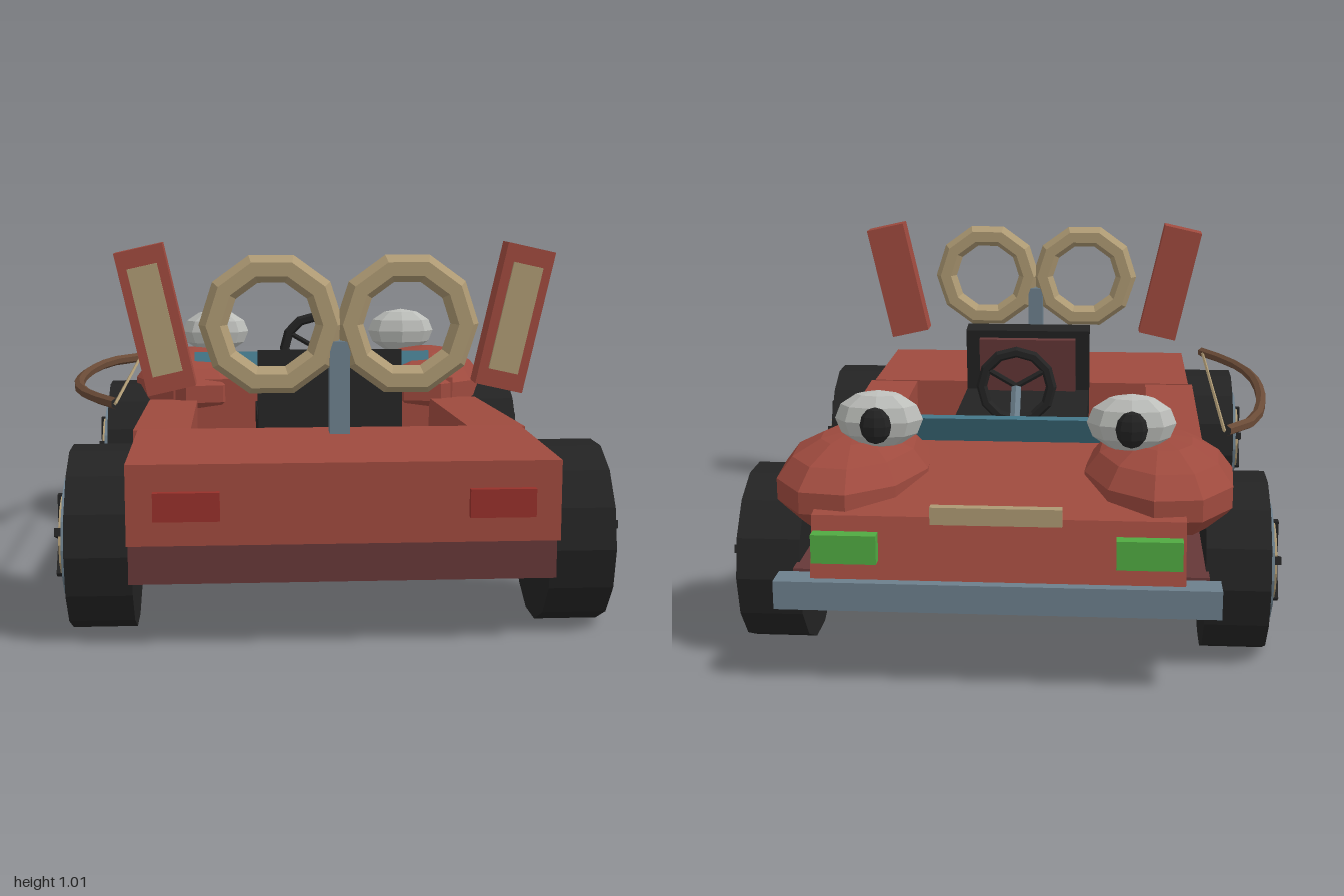
import * as THREE from 'three';

const mat = (name, color, side = THREE.FrontSide) => {
  const m = new THREE.MeshStandardMaterial({ color, flatShading: true, side });
  m.name = name;
  return m;
};

export function createModel() {
  const red = mat('body red', 0x9e4a3e);
  const maroon = mat('chassis maroon', 0x663838);
  const tan = mat('tan', 0xad9973);
  const black = mat('black', 0x232323);
  const steel = mat('steel blue', 0x6c7f8c);
  const teal = mat('teal', 0x437688, THREE.DoubleSide);
  const white = mat('eye grey', 0xbcbeba);
  const green = mat('lamp green', 0x50aa42);
  const lampRed = mat('tail lamp red', 0x96302a);
  const wood = mat('bow wood', 0x694a36);

  const car = new THREE.Group();
  car.name = 'buggy';

  const add = (name, geo, material, pos = [0, 0, 0], rot = [0, 0, 0], parent = car) => {
    const m = new THREE.Mesh(geo, material);
    m.name = name;
    m.position.set(...pos);
    m.rotation.set(...rot);
    parent.add(m);
    return m;
  };
  // box given by its limits on each axis
  const box = (name, material, [x0, x1], [y0, y1], [z0, z1]) =>
    add(name, new THREE.BoxGeometry(x1 - x0, y1 - y0, z1 - z0), material,
      [(x0 + x1) / 2, (y0 + y1) / 2, (z0 + z1) / 2]);
  // side profile of (z, y) points extruded between two x limits
  const profile = (name, material, pts, x0, x1) => {
    const shape = new THREE.Shape(pts.map(p => new THREE.Vector2(...p)));
    const geo = new THREE.ExtrudeGeometry(shape, { depth: x1 - x0, bevelEnabled: false });
    geo.rotateY(-Math.PI / 2);
    return add(name, geo, material, [x1, 0, 0]);
  };
  // straight bar between two points
  const bar = (name, material, a, b, r, sides = 6) => {
    const A = new THREE.Vector3(...a), B = new THREE.Vector3(...b);
    const m = add(name, new THREE.CylinderGeometry(r, r, A.distanceTo(B), sides), material);
    m.position.copy(A).add(B).multiplyScalar(0.5);
    m.quaternion.setFromUnitVectors(new THREE.Vector3(0, 1, 0), B.sub(A).normalize());
    return m;
  };

  // Body
  box('chassis', maroon, [-0.54, 0.54], [0.18, 0.29], [-0.88, 0.95]);
  box('rearDeck', red, [-0.542, 0.542], [0.285, 0.49], [0.455, 0.98]);
  profile('hood', red, [[-0.36, 0.285], [-0.36, 0.52], [-0.44, 0.52], [-0.93, 0.455],
    [-0.972, 0.3], [-0.9, 0.285]], -0.475, 0.475);
  box('bumper', steel, [-0.565, 0.565], [0.225, 0.3], [-1, -0.925]);
  box('grille', tan, [-0.165, 0.165], [0.455, 0.5], [-0.99, -0.965]);

  // Windscreen strip, leaning towards the hood
  add('windscreen', new THREE.BoxGeometry(0.81, 0.095, 0.015), teal, [0, 0.557, -0.446], [-0.5, 0, 0]);

  // Wheel with its outer face towards +x
  const makeWheel = () => {
    const w = new THREE.Group();
    const disc = (name, r, x0, x1, sides, m) => {
      const g = new THREE.CylinderGeometry(r, r, x1 - x0, sides);
      g.rotateZ(-Math.PI / 2);
      add(name, g, m, [(x0 + x1) / 2, 0, 0], [0, 0, 0], w);
    };
    disc('tyre', 0.243, 0.533, 0.702, 14, black);
    disc('rim', 0.165, 0.69, 0.718, 14, steel);
    disc('hubDisc', 0.112, 0.71, 0.73, 14, tan);
    for (let i = 0; i < 5; i++) {
      const a = i * Math.PI * 2 / 5;
      add('spoke', new THREE.BoxGeometry(0.022, 0.115, 0.022), black,
        [0.73, Math.cos(a) * 0.055, Math.sin(a) * 0.055], [a, 0, 0], w);
    }
    return w;
  };

  for (const s of [-1, 1]) {
    const span = (a, b) => (s > 0 ? [a, b] : [-b, -a]);

    for (const [end, z] of [['rear', 0.68], ['front', -0.6]]) {
      const w = makeWheel();
      w.name = end + 'Wheel';
      w.position.set(0, 0.243, z);
      if (s < 0) w.rotation.y = Math.PI;
      car.add(w);
    }

    // Cockpit side, lower towards the hood
    profile('sideRail', red, [[-0.38, 0.285], [0.46, 0.285], [0.46, 0.487], [-0.38, 0.45]],
      ...span(0.395, 0.556));

    // Rounded fender with a flattened underside
    const f = new THREE.SphereGeometry(1, 10, 7);
    f.scale(0.208, 0.13, 0.305);
    const p = f.attributes.position;
    for (let i = 0; i < p.count; i++) p.setY(i, Math.max(p.getY(i), -0.095));
    add('fender', f, red, [s * 0.412, 0.472, -0.62], [0, -s * 0.15, 0]);

    // Eye with pupil
    const eye = add('eye', new THREE.SphereGeometry(1, 8, 6), white, [s * 0.335, 0.65, -0.697]);
    eye.scale.set(0.118, 0.078, 0.063);
    const pupil = add('pupil', new THREE.SphereGeometry(1, 8, 6), black, [s * 0.335, 0.645, -0.755]);
    pupil.scale.set(0.042, 0.05, 0.024);

    box('headLamp', green, span(0.3, 0.465), [0.35, 0.425], [-1, -0.965]);
    box('tailLamp', lampRed, span(0.31, 0.475), [0.35, 0.422], [0.975, 1]);

    // Tilted fin with a tan panel
    const fin = new THREE.Group();
    fin.name = 'fin';
    fin.position.set(s * 0.478, 0.816, 0.635);
    fin.rotation.z = -s * 0.22;
    car.add(fin);
    add('finBody', new THREE.BoxGeometry(0.13, 0.385, 0.08), red, [0, 0, 0], [0, 0, 0], fin);
    add('finPanel', new THREE.BoxGeometry(0.08, 0.29, 0.009), tan, [0, 0, 0.0445], [0, 0, 0], fin);

    // Rear ring
    add('ring', new THREE.TorusGeometry(0.15, 0.037, 6, 10), tan, [s * 0.175, 0.812, 0.772]);
  }
  box('ringPost', steel, [-0.026, 0.026], [0.53, 0.77], [0.743, 0.8]);

  // Seat
  box('seatCushion', black, [-0.203, 0.208], [0.385, 0.49], [-0.055, 0.41]);
  add('seatBack', new THREE.BoxGeometry(0.411, 0.225, 0.075), black, [0.002, 0.588, 0.37], [-0.12, 0, 0]);
  add('seatPad', new THREE.BoxGeometry(0.32, 0.18, 0.025), maroon, [0.002, 0.58, 0.324], [-0.12, 0, 0]);

  // Steering wheel and column
  add('steeringWheel', new THREE.TorusGeometry(0.103, 0.016, 6, 12), black, [0, 0.638, -0.245]);
  for (let i = 0; i < 3; i++) {
    const a = -Math.PI / 2 + i * Math.PI * 2 / 3;
    bar('steeringSpoke', black, [0, 0.638, -0.245],
      [Math.cos(a) * 0.1, 0.638 + Math.sin(a) * 0.1, -0.245], 0.009);
  }
  bar('steeringColumn', steel, [0, 0.635, -0.252], [0, 0.48, -0.37], 0.016);

  // Bow and string along the right side
  const path = new THREE.CatmullRomCurve3([[-0.6, -0.5], [-0.675, -0.4], [-0.73, -0.13],
    [-0.73, 0.2], [-0.68, 0.4], [-0.592, 0.57]].map(([x, z]) => new THREE.Vector3(x, 0.58, z)));
  add('bow', new THREE.TubeGeometry(path, 10, 0.016, 6), wood);
  bar('bowString', tan, [-0.594, 0.58, -0.5], [-0.594, 0.58, 0.57], 0.005, 4);

  return car;
}
